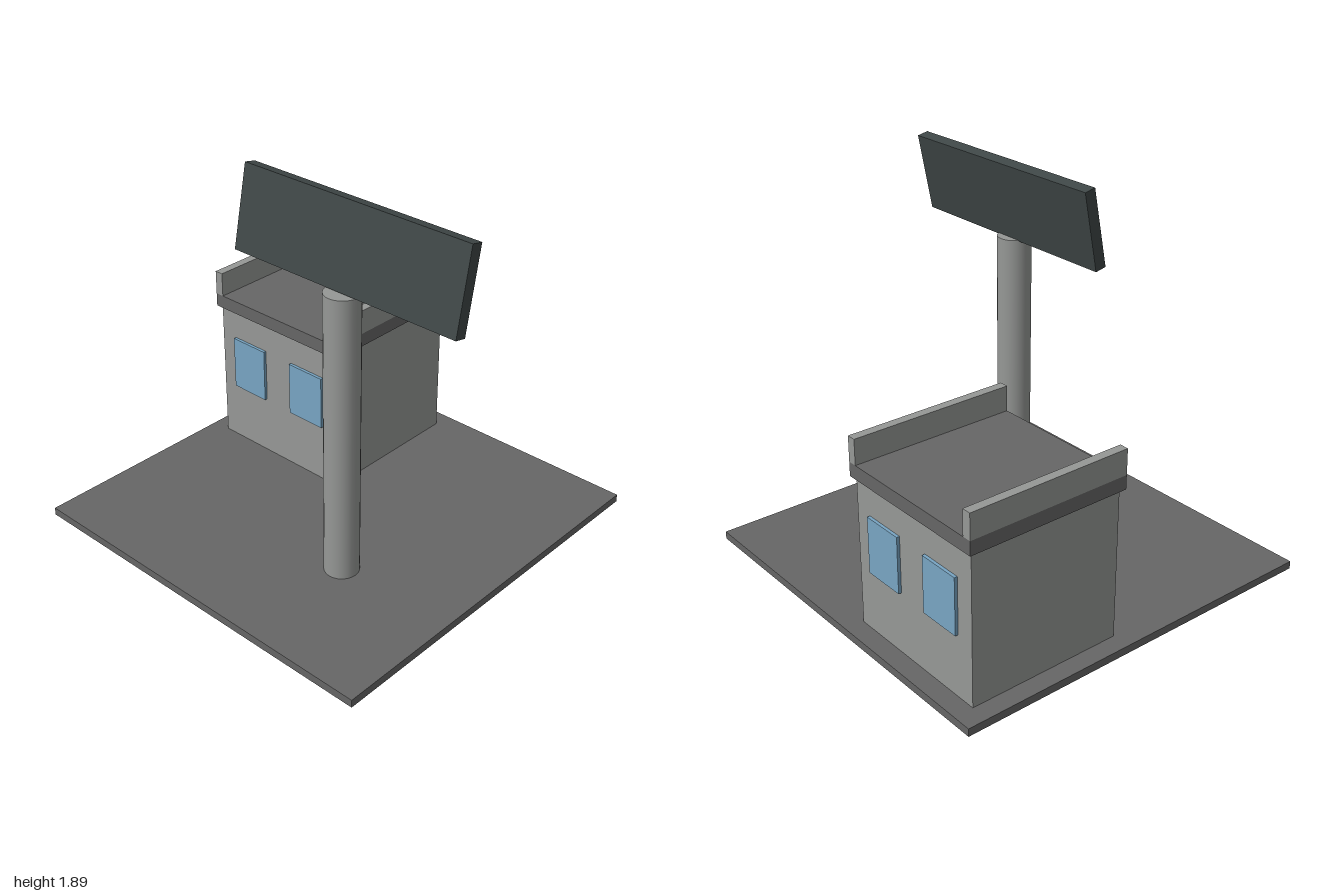
import * as THREE from 'three';

export function createModel() {
  const mat = (name, color) => {
    const m = new THREE.MeshStandardMaterial({ color });
    m.name = name;
    return m;
  };
  const concrete = mat('light concrete', 0x969896);
  const asphalt = mat('dark grey', 0x666666);
  const glass = mat('window blue', 0x78a5c3);
  const slate = mat('slate', 0x3f4747);

  const model = new THREE.Group();
  model.name = 'kioskWithSign';

  const box = (parent, name, material, size, pos) => {
    const mesh = new THREE.Mesh(new THREE.BoxGeometry(...size), material);
    mesh.name = name;
    mesh.position.set(...pos);
    parent.add(mesh);
    return mesh;
  };

  // Ground slab
  box(model, 'groundSlab', asphalt, [2, 0.04, 2], [0, 0.02, 0]);

  // Kiosk: walls, roof, side parapets, windows on front and back
  const kiosk = new THREE.Group();
  kiosk.name = 'kiosk';
  kiosk.position.set(-0.502, 0, -0.5);
  model.add(kiosk);
  box(kiosk, 'walls', concrete, [0.805, 0.755, 0.805], [0, 0.4175, 0]);
  box(kiosk, 'roof', asphalt, [0.845, 0.07, 0.845], [0, 0.83, 0]);
  for (const side of [-1, 1]) {
    box(kiosk, side > 0 ? 'leftParapet' : 'rightParapet', concrete,
      [0.046, 0.127, 0.845], [side * 0.3995, 0.9285, 0]);
    for (const face of [-1, 1]) {
      box(kiosk, face > 0 ? 'frontWindow' : 'backWindow', glass,
        [0.22, 0.284, 0.03], [side * 0.2, 0.497, face * 0.403]);
    }
  }

  // Sign: round pole with a board leaning back
  const sign = new THREE.Group();
  sign.name = 'sign';
  sign.position.set(0.375, 0, 0);
  model.add(sign);
  const pole = new THREE.Mesh(new THREE.CylinderGeometry(0.085, 0.085, 1.45, 24), concrete);
  pole.name = 'pole';
  pole.position.set(0, 0.765, 0.38);
  sign.add(pole);
  const board = box(sign, 'board', slate, [1.25, 0.4, 0.06], [0, 1.687, 0.335]);
  board.rotation.x = -0.2;

  return model;
}
